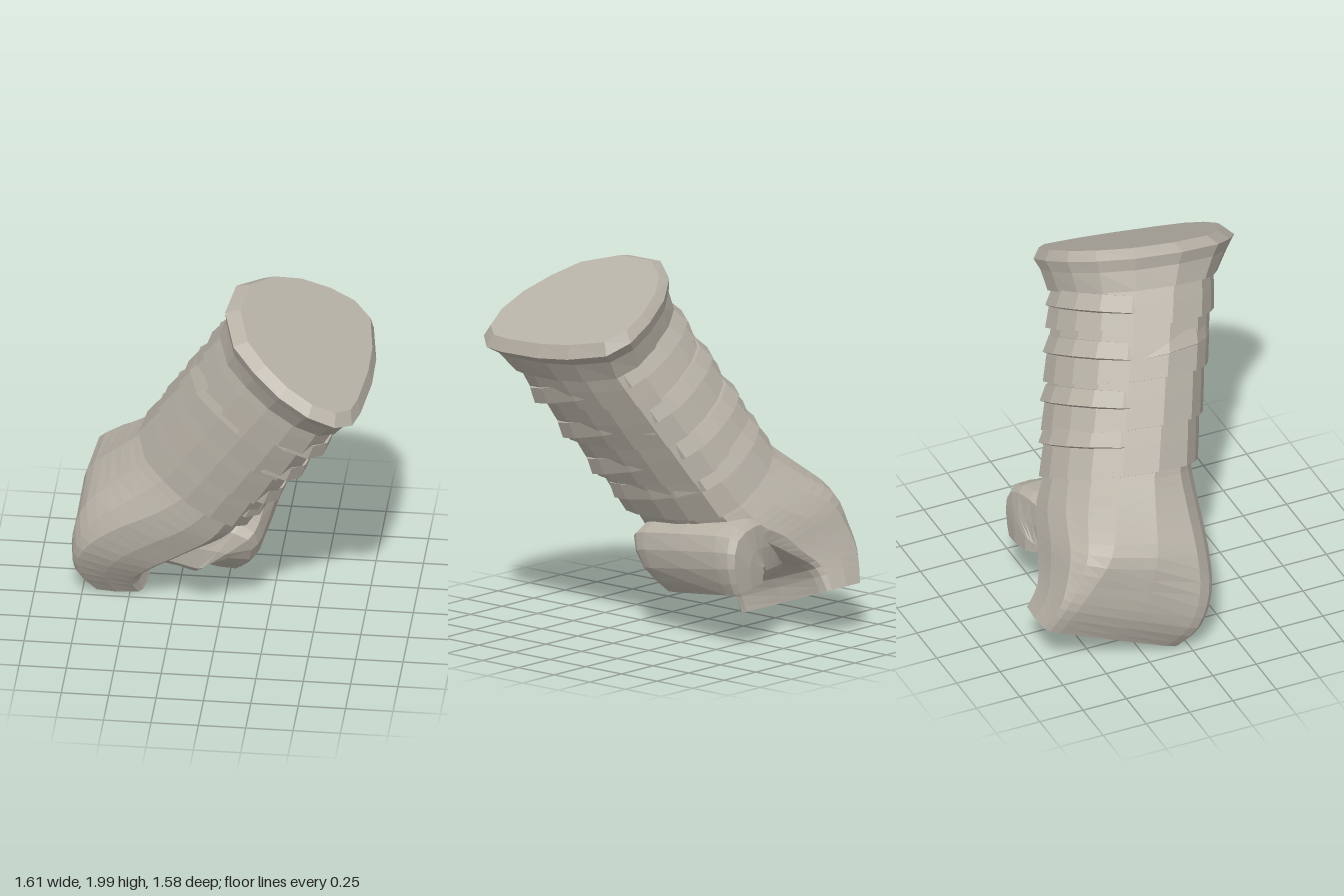
import * as THREE from 'three';

// Rounded triangular sleeve outline, normalised to -1..1 (u across, v front)
const SLEEVE = [[-1, .08], [-.92, -.4], [-.6, -.72], [-.2, -.91], [.24, -1], [.63, -1], [.9, -.85], [1, -.4],
  [1, 0], [.92, .52], [.84, .77], [.63, .94], [.27, 1], [-.14, .93], [-.5, .76], [-.82, .53]];

// Squarish outline with the same number of points
const BOX = SLEEVE.map((_, j) => {
  const a = Math.PI + j * Math.PI / 8;
  const f = (v) => Math.abs(v) < 1e-6 ? 0 : Math.sign(v) * Math.abs(v) ** 0.25;
  return [f(Math.cos(a)), f(Math.sin(a))];
});

// One cross-section: centre, half-width vector, half-depth vector, squareness
const sec = (c, u, v, box = 0) => [...c, ...u, ...v, box];

function ringPoints(s) {
  return SLEEVE.map((p, j) => {
    const a = p[0] + (BOX[j][0] - p[0]) * s[9], b = p[1] + (BOX[j][1] - p[1]) * s[9];
    return [0, 1, 2].map((k) => s[k] + a * s[3 + k] + b * s[6 + k]);
  });
}

// Closed, faceted skin through a list of cross-sections
function loft(sections) {
  const rings = sections.map(ringPoints), n = SLEEVE.length, pos = [];
  const tri = (a, b, c) => pos.push(...a, ...b, ...c);
  const last = rings.length - 1;
  for (let j = 0; j < n; j++) {
    const k = (j + 1) % n;
    for (let i = 0; i < last; i++) {
      const A = rings[i], B = rings[i + 1];
      tri(A[j], A[k], B[j]);
      tri(A[k], B[k], B[j]);
    }
    tri(sections[0].slice(0, 3), rings[0][k], rings[0][j]);
    tri(sections[last].slice(0, 3), rings[last][j], rings[last][k]);
  }
  const g = new THREE.BufferGeometry();
  g.setAttribute('position', new THREE.Float32BufferAttribute(pos, 3));
  g.computeVertexNormals();
  return g;
}

// Catmull-Rom refinement of the cross-sections
function refine(s, steps) {
  const out = [];
  for (let i = 0; i < s.length - 1; i++) {
    const a = s[Math.max(i - 1, 0)], b = s[i], c = s[i + 1], d = s[Math.min(i + 2, s.length - 1)];
    for (let q = 0; q < steps; q++) {
      const t = q / steps;
      out.push(b.map((_, k) => 0.5 * (2 * b[k] + (c[k] - a[k]) * t
        + (2 * a[k] - 5 * b[k] + 4 * c[k] - d[k]) * t * t
        + (3 * b[k] - a[k] - 3 * c[k] + d[k]) * t * t * t)));
    }
  }
  out.push(s[s.length - 1]);
  return out;
}

// Sleeve cross-section at t (0 under the cuff, 1 at the wrist)
function sleeveAt(t, scale, shift = [0, 0], tilt = 0) {
  const w = scale * (1 - 0.07 * t);
  return sec([0.35 - 0.48 * t + shift[0], 1.61 - 0.8 * t, 0.21 - 0.305 * t + shift[1]],
    [0.34 * w, -0.185 * w, 0], [0, (-0.05 - tilt) * w, 0.435 * w]);
}

export function createModel() {
  const model = new THREE.Group();
  const cloth = new THREE.MeshStandardMaterial({ color: 0xb8b2a7, flatShading: true });
  cloth.name = 'warm grey';
  const add = (name, sections) => {
    const mesh = new THREE.Mesh(loft(sections), cloth);
    mesh.name = name;
    model.add(mesh);
  };

  // Flared cuff with bevelled rim and closed top
  add('cuff', [
    sec([0.455, 1.81, 0.25], [0.335, -0.18, 0], [0, -0.06, 0.49]),
    sec([0.425, 1.765, 0.26], [0.385, -0.21, 0], [0, -0.06, 0.53]),
    sec([0.40, 1.71, 0.245], [0.355, -0.19, 0], [0, -0.055, 0.495]),
    sleeveAt(0, 1.02), sleeveAt(0.005, 0.9),
  ]);

  // Overlapping bands, each flaring slightly towards its lower edge
  [[-0.03, 0.2], [0.17, 0.49], [0.44, 0.75], [0.7, 1]].forEach(([a, b], i) => {
    add('sleeveBand' + (i + 1), [sleeveAt(a, 0.96), sleeveAt((a + b) / 2, 1),
      sleeveAt(b, 1.03), sleeveAt(b + 0.005, 0.93)]);
  });

  // Slanted creases that barely emerge on one side of the sleeve
  [[0.15, 0.012, -0.012, 0.08], [0.4, 0.012, -0.015, 0.08], [0.66, 0.012, -0.02, 0.08],
    [0.86, 0.01, -0.02, 0.05], [0.36, -0.012, 0, -0.05]].forEach(([t, x, z, tilt], i) => {
    add('fold' + (i + 1), [sleeveAt(t - 0.09, 0.94, [x, z], tilt),
      sleeveAt(t, 1, [x, z], tilt), sleeveAt(t + 0.01, 0.92, [x, z], tilt)]);
  });

  // Hand bending from the wrist into downward-curled joined fingers
  add('hand', refine([
    sec([-0.1, 0.87, -0.08], [0.3, -0.16, 0], [0, -0.04, 0.37]),
    sec([-0.15, 0.79, -0.12], [0.31, -0.16, 0], [0, -0.04, 0.39]),
    sec([-0.26, 0.67, -0.17], [0.335, -0.15, 0], [-0.01, -0.06, 0.41], 0.15),
    sec([-0.41, 0.55, -0.22], [0.33, -0.11, 0], [-0.03, -0.09, 0.41], 0.4),
    sec([-0.505, 0.41, -0.27], [0.255, -0.06, 0], [-0.07, -0.11, 0.4], 0.75),
    sec([-0.555, 0.27, -0.34], [0.18, -0.02, 0], [-0.07, -0.13, 0.38], 1),
    sec([-0.515, 0.135, -0.415], [0.14, 0, 0], [-0.05, -0.13, 0.37], 1),
  ], 3));

  // Broad thumb with filled web, curling down opposite the fingers
  add('thumb', refine([
    sec([-0.32, 0.44, -0.2], [0.02, 0.19, 0], [0, -0.04, 0.29], 0.6),
    sec([-0.2, 0.45, -0.2], [0.02, 0.19, 0], [-0.01, -0.04, 0.35], 0.6),
    sec([-0.05, 0.45, -0.21], [0.08, 0.2, 0], [-0.03, -0.05, 0.38], 0.6),
    sec([0.05, 0.45, -0.22], [0.17, 0.13, 0], [-0.03, -0.05, 0.4], 0.7),
    sec([0.07, 0.38, -0.26], [0.165, 0.02, 0], [-0.05, -0.06, 0.37], 0.8),
    sec([0.035, 0.28, -0.31], [0.13, -0.02, 0], [-0.07, -0.05, 0.32], 0.8),
  ], 2));

  return model;
}
